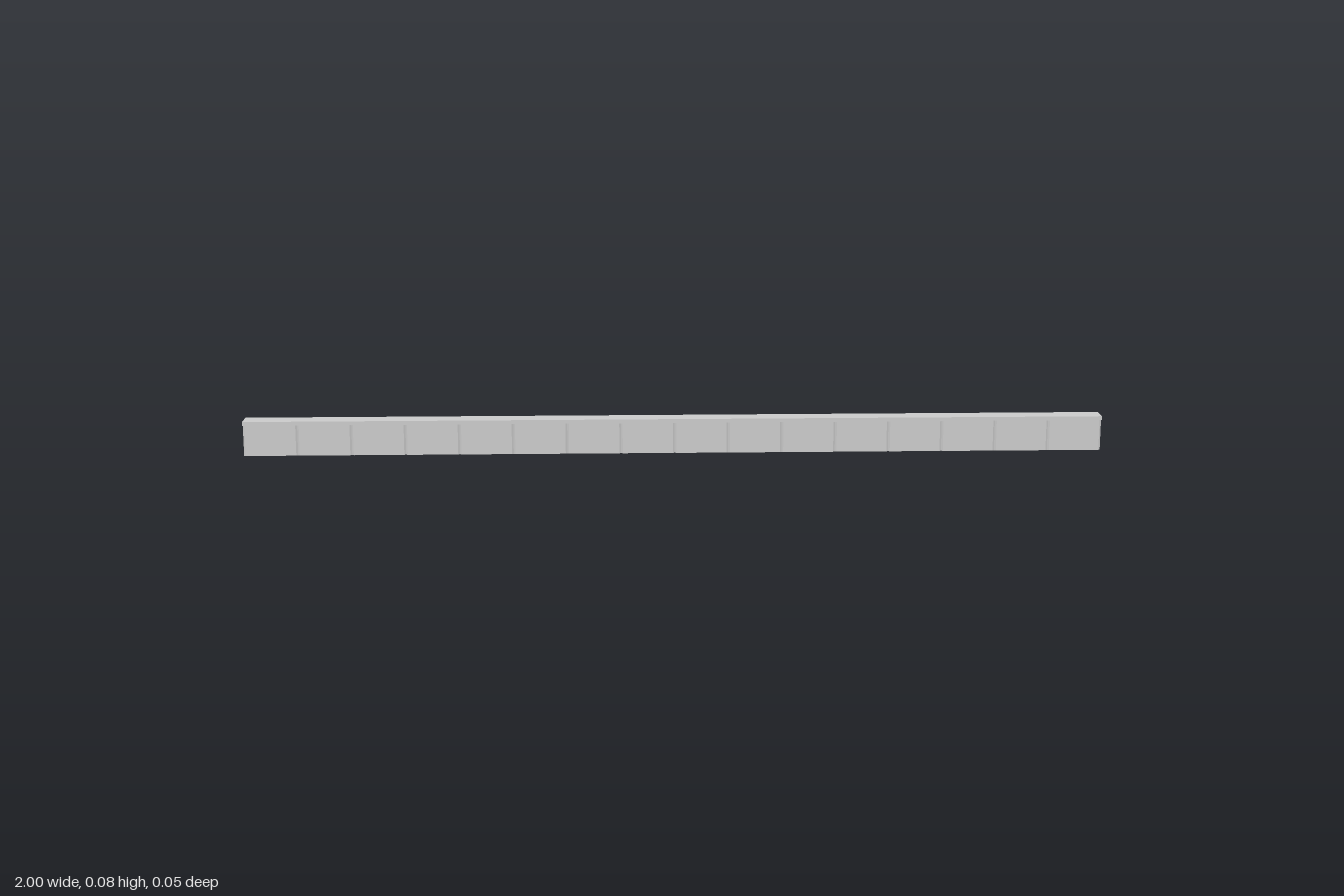
import * as THREE from 'three';

export function createModel() {
  const group = new THREE.Group();
  const material = new THREE.MeshStandardMaterial({ color: 0xcccccc, flatShading: true });
  const count = 16, pitch = 2 / count;
  const wallHeight = 0.073, capHeight = 0.009;
  const hx = pitch / 2, hz = 0.018, bx = 0.004, bz = 0.003;

  // Plan of one wall panel, with chamfered vertical corners
  const plan = new THREE.Shape([
    [-hx + bx, -hz], [hx - bx, -hz], [hx, -hz + bz], [hx, hz - bz],
    [hx - bx, hz], [-hx + bx, hz], [-hx, hz - bz], [-hx, -hz + bz],
  ].map(([x, z]) => new THREE.Vector2(x, z)));
  const panelGeometry = new THREE.ExtrudeGeometry(plan, { depth: wallHeight, bevelEnabled: false });
  panelGeometry.rotateX(-Math.PI / 2);

  // Row of panels; neighbouring chamfers form the V-shaped joints
  for (let i = 0; i < count; i++) {
    const panel = new THREE.Mesh(panelGeometry, material);
    panel.name = `wallPanel${i + 1}`;
    panel.position.x = -1 + pitch * (i + 0.5);
    group.add(panel);
  }

  // Coping slab overhanging both faces
  const coping = new THREE.Mesh(new THREE.BoxGeometry(2, capHeight, 0.047), material);
  coping.name = 'coping';
  coping.position.y = wallHeight + capHeight / 2;
  group.add(coping);

  return group;
}
